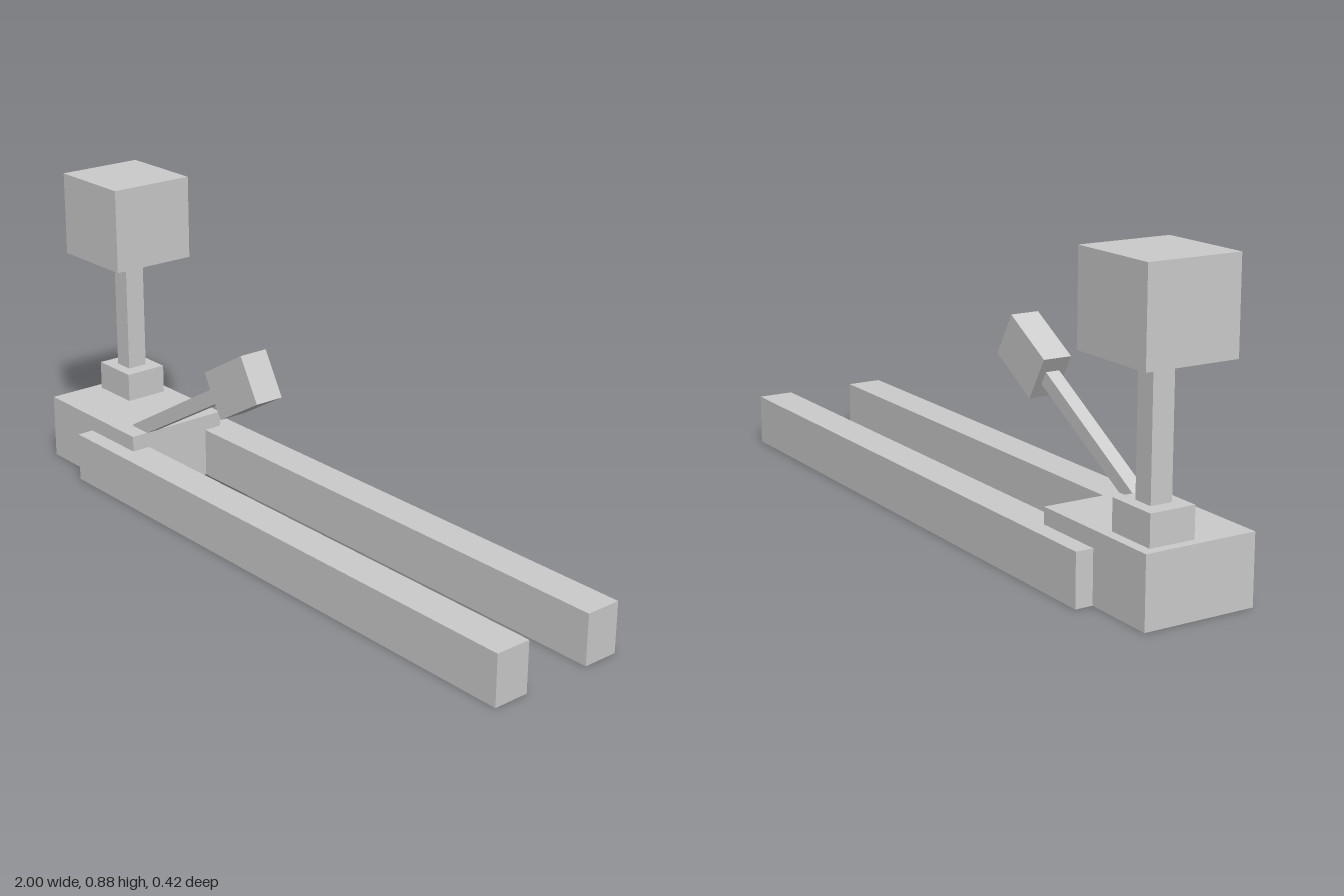
import * as THREE from 'three';

const material = new THREE.MeshStandardMaterial({
  color: 0xcccccc, flatShading: true, side: THREE.DoubleSide,
});

function addMesh(parent, name, geometry) {
  const mesh = new THREE.Mesh(geometry, material);
  mesh.name = name;
  parent.add(mesh);
  return mesh;
}

// Box given by its [min, max] along each axis, optionally without a bottom
function block(parent, name, [x0, x1], [y0, y1], [z0, z1], open = false) {
  const geometry = new THREE.BoxGeometry(x1 - x0, y1 - y0, z1 - z0);
  if (open) {
    const index = Array.from(geometry.index.array);
    index.splice(18, 6); // the downward face
    geometry.setIndex(index);
    geometry.clearGroups();
  }
  geometry.translate((x0 + x1) / 2, (y0 + y1) / 2, (z0 + z1) / 2);
  return addMesh(parent, name, geometry);
}

export function createModel() {
  const model = new THREE.Group();
  model.name = 'leverMechanism';

  // Hollow base and the two long rails, open underneath
  block(model, 'base', [-0.967, -0.543], [0, 0.191], [-0.16, 0.16], true);
  block(model, 'leftRail', [-0.757, 1], [0, 0.145], [0.104, 0.21], true);
  block(model, 'rightRail', [-0.757, 1], [0, 0.145], [-0.21, -0.104], true);

  // Upright post on its pedestal
  const upright = new THREE.Group();
  upright.name = 'upright';
  model.add(upright);
  block(upright, 'pedestal', [-0.94, -0.79], [0.191, 0.276], [-0.13, 0], true);
  block(upright, 'post', [-0.895, -0.835], [0.276, 0.622], [-0.096, -0.034], true);

  // Head block, its underside tapering slightly to the post
  block(upright, 'head', [-1, -0.73], [0.628, 0.876], [-0.195, 0.067], true);
  const taper = new THREE.CylinderGeometry(Math.SQRT1_2, 0.23 * Math.SQRT1_2, 0.008, 4, 1, true);
  taper.rotateY(Math.PI / 4).scale(0.27, 1, 0.262).translate(-0.865, 0.624, -0.064);
  addMesh(upright, 'headUnderside', taper);

  // Slanted lever arm with a flat foot resting on the base
  const lever = new THREE.Group();
  lever.name = 'lever';
  model.add(lever);
  const profile = new THREE.Shape([
    [-0.607, 0.185], [-0.553, 0.185], [-0.177, 0.4], [-0.197, 0.438], [-0.615, 0.195],
  ].map(([x, y]) => new THREE.Vector2(x, y)));
  const rod = new THREE.ExtrudeGeometry(profile, { depth: 0.042, bevelEnabled: false });
  addMesh(lever, 'leverArm', rod.translate(0, 0, 0.067));

  // Grip at the raised end of the lever
  const grip = addMesh(lever, 'leverGrip', new THREE.BoxGeometry(0.187, 0.138, 0.086));
  grip.position.set(-0.111, 0.462, 0.088);
  grip.rotation.z = Math.PI / 6;

  return model;
}
